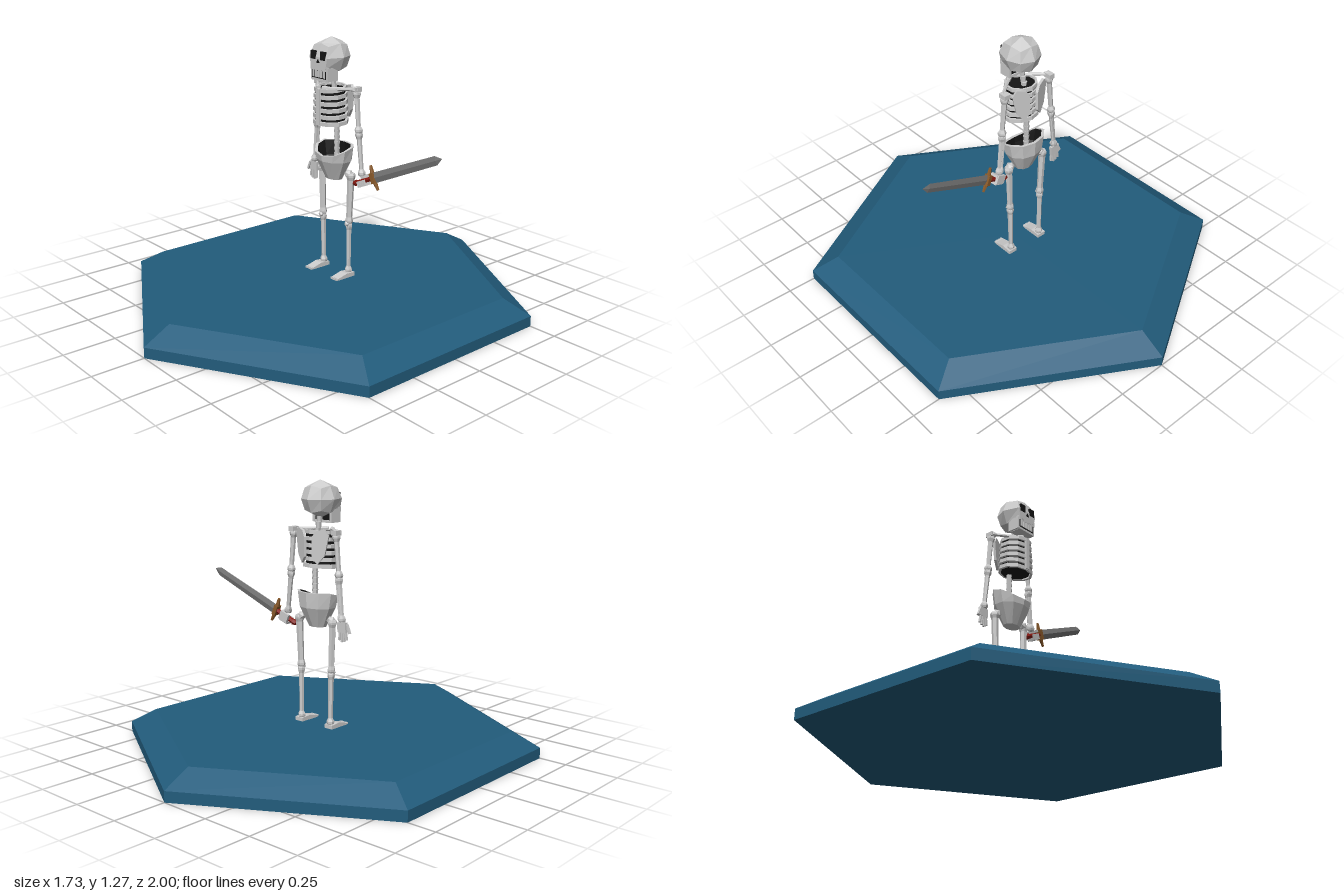
import * as THREE from 'three';

const mat = (color) => new THREE.MeshStandardMaterial({ color, flatShading: true });
const BONE = mat(0xcccccc), DARK = mat(0x141414), STONE = mat(0x225c7c);
const STEEL = mat(0x777777), RED = mat(0x8a1a12), BRASS = mat(0x8a5a2a);
const V = (x, y, z) => new THREE.Vector3(x, y, z);

function add(parent, name, geo, material, x = 0, y = 0, z = 0) {
  const m = new THREE.Mesh(geo, material);
  m.name = name;
  m.position.set(x, y, z);
  parent.add(m);
  return m;
}
const box = (parent, name, material, size, pos) => add(parent, name, new THREE.BoxGeometry(...size), material, ...pos);

// Long bone with knobbed ends running from a to b
function bone(parent, name, a, b, r, knobA = 1.5, knobB = 1.5) {
  const len = a.distanceTo(b), k = Math.min(0.022, len * 0.2);
  const pts = [[0, 0], [r * knobA * 0.8, 0], [r * knobA, k * 0.4], [r * knobA, k * 0.8], [r, k * 1.5],
    [r * 0.85, len - k * 1.5], [r * knobB, len - k * 0.8], [r * knobB, len - k * 0.4], [r * knobB * 0.8, len], [0, len]];
  const geo = new THREE.LatheGeometry(pts.map((p) => new THREE.Vector2(...p)), 6);
  const m = add(parent, name, geo, BONE, a.x, a.y, a.z);
  m.quaternion.setFromUnitVectors(V(0, 1, 0), b.clone().sub(a).normalize());
  return m;
}

// Skin through rings of equal point count
function loft(rings) {
  const n = rings[0].length, index = [];
  for (let i = 0; i < rings.length - 1; i++) {
    for (let j = 0; j < n; j++) {
      const a = i * n + j, b = i * n + (j + 1) % n;
      index.push(a, b, b + n, a, b + n, a + n);
    }
  }
  const geo = new THREE.BufferGeometry().setFromPoints(rings.flat());
  geo.setIndex(index);
  const flat = geo.toNonIndexed();
  flat.computeVertexNormals();
  return flat;
}

function buildSkull(root) {
  const skull = new THREE.Group();
  skull.name = 'skull';
  skull.position.set(0, 1.18, -0.05);
  root.add(skull);

  // Spherified box with a flattened face
  const geo = new THREE.BoxGeometry(2, 2, 2, 2, 2, 2);
  const p = geo.attributes.position;
  for (let i = 0; i < p.count; i++) {
    const v = V().fromBufferAttribute(p, i);
    const face = v.z > 0.9, row = Math.round(v.y);
    v.normalize().multiplyScalar(0.087);
    if (face) v.z = row > 0 ? 0.062 : 0.08;
    p.setXYZ(i, v.x, v.y, v.z);
  }
  add(skull, 'cranium', geo, BONE);

  for (const s of [-1, 1]) {
    box(skull, 'eyeSocket', DARK, [0.032, 0.038, 0.03], [s * 0.033, 0.008, 0.068]);
    box(skull, 'jawSide', BONE, [0.012, 0.062, 0.062], [s * 0.053, -0.077, 0.043]);
  }
  const nose = add(skull, 'noseHole', new THREE.CylinderGeometry(0.011, 0.011, 0.01, 3), DARK, 0, -0.02, 0.079);
  nose.rotation.set(-Math.PI / 2, 0, 0);
  box(skull, 'upperJaw', BONE, [0.112, 0.024, 0.05], [0, -0.049, 0.054]);
  box(skull, 'mouth', DARK, [0.098, 0.042, 0.054], [0, -0.078, 0.048]);
  box(skull, 'chin', BONE, [0.1, 0.012, 0.06], [0, -0.104, 0.045]);
  for (let i = 0; i < 5; i++) {
    box(skull, 'tooth', BONE, [0.012, 0.036, 0.008], [(i - 2) * 0.0185, -0.075, 0.075]);
  }
}

function buildTorso(root) {
  const spine = new THREE.Group();
  spine.name = 'spine';
  root.add(spine);
  for (let i = 0; i < 16; i++) {
    const y = 0.67 + i * 0.028;
    const z = -0.085 + 0.03 * Math.max(0, (y - 0.95) / 0.14);
    add(spine, 'vertebra', new THREE.CylinderGeometry(0.015, 0.012, 0.028, 6), BONE, 0, y, z);
  }

  // Ribs wrap a dark hollow core
  const cage = new THREE.Group();
  cage.name = 'ribCage';
  cage.position.set(0, 0, -0.045);
  root.add(cage);
  const core = add(cage, 'chestHollow', new THREE.CylinderGeometry(0.88, 0.88, 0.16, 10), DARK, 0, 0.95, 0);
  core.scale.set(0.084, 1, 0.076);
  for (let i = 0; i < 6; i++) {
    const h = 0.009;
    const profile = [[0.86, -h], [1, -h], [1, h], [0.86, h], [0.86, -h]].map((q) => new THREE.Vector2(...q));
    const rib = add(cage, 'rib', new THREE.LatheGeometry(profile, 10), BONE, 0, 0.875 + i * 0.031, 0);
    const w = 0.092 - 0.0006 * i * i;
    rib.scale.set(w, 1, 0.077);
    rib.rotation.x = 0.06;
  }
  box(cage, 'breastbone', BONE, [0.022, 0.165, 0.012], [0, 0.948, 0.074]);

  // Shoulder blades and collarbones
  const blade = new THREE.Shape([[0.022, 0.03], [0.05, 0], [0.085, 0.04], [0.105, 0.13], [0.085, 0.16], [0.04, 0.15], [0.022, 0.12]]
    .map((q) => new THREE.Vector2(...q)));
  const bladeGeo = new THREE.ExtrudeGeometry(blade, { depth: 0.012, bevelEnabled: false });
  for (const s of [-1, 1]) {
    const side = new THREE.Group();
    side.name = s > 0 ? 'leftShoulder' : 'rightShoulder';
    side.scale.x = s;
    root.add(side);
    const m = add(side, 'shoulderBlade', bladeGeo, BONE, 0.002, 0.89, -0.143);
    m.rotation.y = -0.38;
    bone(side, 'collarbone', V(0.012, 1.036, 0.018), V(0.142, 1.038, -0.085), 0.009);
    box(side, 'shoulderTip', BONE, [0.028, 0.022, 0.04], [0.132, 1.037, -0.088]);
  }
}

function buildPelvis(root) {
  // Open basin: the rim dips at the front
  const ring = (y, w, d, dip = 0) => Array.from({ length: 10 }, (_, i) => {
    const t = (i + 0.5) / 10 * Math.PI * 2, c = Math.cos(t), s = Math.sin(t);
    return V(w * c, y - dip * Math.max(0, -s), -0.068 - d * s);
  });
  const rim = ring(0.757, 0.096, 0.066, 0.045);
  const pelvis = new THREE.Group();
  pelvis.name = 'pelvis';
  root.add(pelvis);
  add(pelvis, 'hipBasin', loft([ring(0.592, 0, 0), ring(0.592, 0.046, 0.034), ring(0.685, 0.095, 0.076),
    ring(0.757, 0.11, 0.08, 0.045), rim]), BONE);
  add(pelvis, 'basinHollow', loft([rim, ring(0.685, 0.082, 0.062), ring(0.61, 0.035, 0.025), ring(0.61, 0, 0)]), DARK);
}

function buildLimbs(root) {
  for (const s of [-1, 1]) {
    const name = s > 0 ? 'left' : 'right';
    const arm = new THREE.Group(), leg = new THREE.Group();
    arm.name = name + 'Arm';
    leg.name = name + 'Leg';
    arm.scale.x = leg.scale.x = s;
    root.add(arm, leg);

    bone(arm, 'upperArm', V(0.13, 1.03, -0.088), V(0.149, 0.835, -0.088), 0.013);
    bone(arm, 'forearm', V(0.148, 0.84, -0.088), V(0.17, 0.635, -0.09), 0.012);
    bone(arm, 'secondForearmBone', V(0.14, 0.835, -0.094), V(0.162, 0.64, -0.098), 0.007);

    bone(leg, 'thigh', V(0.104, 0.635, -0.082), V(0.094, 0.385, -0.08), 0.017, 1.3, 1.1);
    add(leg, 'hipBall', new THREE.IcosahedronGeometry(0.022), BONE, 0.092, 0.63, -0.078);
    add(leg, 'kneecap', new THREE.IcosahedronGeometry(0.014), BONE, 0.094, 0.385, -0.068);
    bone(leg, 'shin', V(0.094, 0.387, -0.08), V(0.091, 0.135, -0.082), 0.013, 1.35, 1.4);

    // Wedge foot with toes
    const foot = new THREE.Shape([[-0.1, 0.12], [0, 0.12], [0.012, 0.127], [-0.05, 0.142], [-0.1, 0.138]].map((q) => new THREE.Vector2(...q)));
    const geo = new THREE.ExtrudeGeometry(foot, { depth: 0.046, bevelEnabled: false });
    add(leg, 'foot', geo, BONE, 0.116, 0, 0).rotation.y = -Math.PI / 2;
    geo.translate(0, 0, 0);
    for (let i = 0; i < 4; i++) box(leg, 'toe', BONE, [0.009, 0.009, 0.02], [0.076 + i * 0.0115, 0.125, 0.005]);
  }

  // Open right hand
  const hand = new THREE.Group();
  hand.name = 'rightHand';
  hand.position.set(-0.172, 0.612, -0.092);
  hand.rotation.z = -0.06;
  root.add(hand);
  box(hand, 'palm', BONE, [0.048, 0.045, 0.016], [0, 0, 0]);
  for (let i = 0; i < 4; i++) {
    const x = (i - 1.5) * 0.0125, len = [0.038, 0.045, 0.048, 0.04][i];
    box(hand, 'finger', BONE, [0.009, len, 0.011], [x, -0.02 - len / 2, 0.002]).rotation.z = (i - 1.5) * 0.08;
  }
  box(hand, 'thumb', BONE, [0.01, 0.045, 0.012], [-0.03, -0.006, 0.006]).rotation.z = -0.35;
}

function buildSword(root) {
  // Blade runs along local +x; the left hand grips the origin
  const sword = new THREE.Group();
  sword.name = 'sword';
  sword.position.set(0.18, 0.613, -0.09);
  sword.rotation.set(0, 0.1, 0.41);
  root.add(sword);
  const rod = (name, r0, r1, x0, x1, sides, material, flat = 1) => {
    const m = add(sword, name, new THREE.CylinderGeometry(r1, r0, x1 - x0, sides), material, (x0 + x1) / 2, 0, 0);
    m.rotation.z = -Math.PI / 2;
    m.scale.z = flat;
  };
  rod('grip', 0.012, 0.012, -0.05, 0.066, 6, RED);
  rod('pommel', 0.01, 0.016, -0.062, -0.045, 6, RED);
  rod('blade', 0.025, 0.021, 0.075, 0.452, 4, STEEL, 0.25);
  rod('bladeTip', 0.021, 0, 0.452, 0.488, 4, STEEL, 0.25);
  box(sword, 'guardCentre', BRASS, [0.02, 0.05, 0.03], [0.068, 0, 0]);
  for (const s of [-1, 1]) {
    const arm = add(sword, 'guardArm', new THREE.CylinderGeometry(0.006, 0.011, 0.04, 6), BRASS, 0.071, s * 0.04, 0);
    arm.rotation.z = s > 0 ? -0.12 : Math.PI + 0.12;
  }

  const fist = new THREE.Group();
  fist.name = 'leftHand';
  sword.add(fist);
  box(fist, 'palm', BONE, [0.05, 0.042, 0.014], [0.002, 0.004, -0.019]);
  for (let i = 0; i < 4; i++) {
    const x = (i - 1.5) * 0.0125;
    box(fist, 'fingerBase', BONE, [0.01, 0.011, 0.036], [x, -0.019, 0]);
    box(fist, 'fingerTip', BONE, [0.01, 0.028, 0.01], [x, -0.009, 0.018]);
  }
  box(fist, 'thumb', BONE, [0.014, 0.012, 0.04], [0.022, 0.018, 0]);
}

export function createModel() {
  const root = new THREE.Group();
  root.name = 'skeletonOnBase';

  // Bevelled hexagonal base
  const base = new THREE.Group();
  base.name = 'base';
  root.add(base);
  add(base, 'baseSlab', new THREE.CylinderGeometry(1, 1, 0.05, 6), STONE, 0, 0.025, 0);
  add(base, 'baseBevel', new THREE.CylinderGeometry(0.87, 1, 0.07, 6), STONE, 0, 0.085, 0);

  buildSkull(root);
  buildTorso(root);
  buildPelvis(root);
  buildLimbs(root);
  buildSword(root);
  return root;
}
